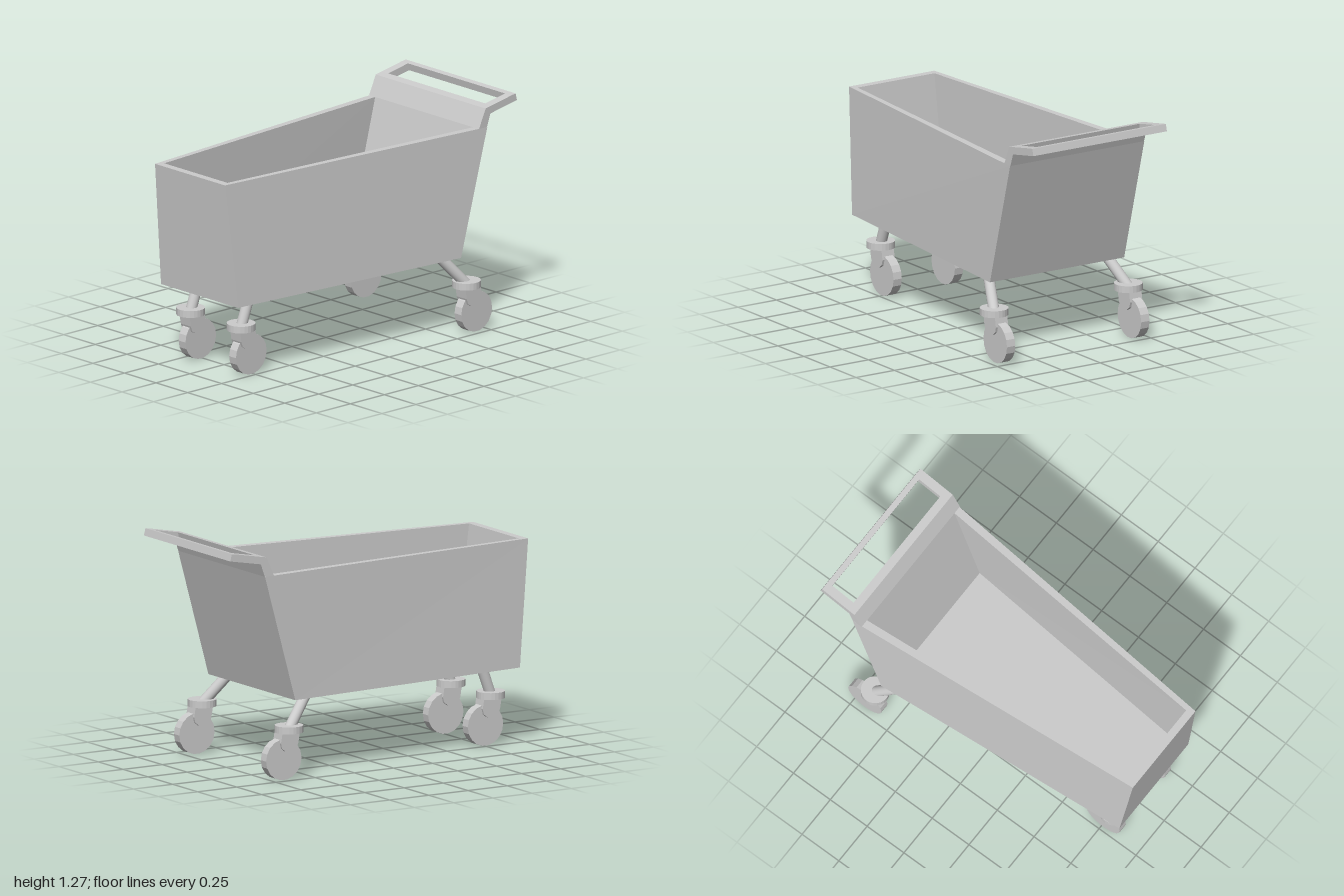
import * as THREE from 'three';

const material = new THREE.MeshStandardMaterial({ color: 0xcccccc, flatShading: true });
const smooth = new THREE.MeshStandardMaterial({ color: 0xcccccc });

function addMesh(parent, name, geometry, mat = material) {
  const mesh = new THREE.Mesh(geometry, mat);
  mesh.name = name;
  parent.add(mesh);
  return mesh;
}

// Four corners of a level trapezoid, counter-clockwise from above
function ring(y, frontX, frontZ, backX, backZ) {
  return [[frontX, y, frontZ], [backX, y, backZ], [-backX, y, backZ], [-frontX, y, frontZ]];
}

// Skin consecutive rings, closing the first and the last
function loft(rings) {
  const positions = [];
  const quad = (a, b, c, d) => positions.push(...a, ...b, ...c, ...a, ...c, ...d);
  for (let r = 0; r < rings.length - 1; r++) {
    for (let i = 0; i < 4; i++) {
      const j = (i + 1) % 4;
      quad(rings[r][i], rings[r][j], rings[r + 1][j], rings[r + 1][i]);
    }
  }
  quad(...[...rings[0]].reverse());
  quad(...rings[rings.length - 1]);
  const geometry = new THREE.BufferGeometry();
  geometry.setAttribute('position', new THREE.Float32BufferAttribute(positions, 3));
  geometry.computeVertexNormals();
  return geometry;
}

// Extrude a side profile of [z, y] points across x from x0 to x1
function sideProfile(points, x0, x1) {
  const shape = new THREE.Shape(points.map(([z, y]) => new THREE.Vector2(-z, y)));
  const geometry = new THREE.ExtrudeGeometry(shape, { depth: x1 - x0, bevelEnabled: false });
  geometry.rotateY(Math.PI / 2);
  geometry.translate(x0, 0, 0);
  return geometry;
}

// Round bar between two points
function bar(from, to, radius) {
  const a = new THREE.Vector3(...from), b = new THREE.Vector3(...to);
  const dir = b.clone().sub(a);
  const geometry = new THREE.CylinderGeometry(radius, radius, dir.length(), 20);
  geometry.applyQuaternion(new THREE.Quaternion().setFromUnitVectors(
    new THREE.Vector3(0, 1, 0), dir.normalize()));
  const mid = a.add(b).multiplyScalar(0.5);
  return geometry.translate(mid.x, mid.y, mid.z);
}

// Swivel caster with its leg; x, z locate the collar, topX, topZ the leg's upper end
function caster(name, x, z, topX, topZ) {
  const group = new THREE.Group();
  group.name = name;
  group.position.set(x, 0, z);
  addMesh(group, 'leg', bar([0, 0.27, 0], [topX - x, 0.435, topZ - z], 0.03), smooth);
  addMesh(group, 'collar', new THREE.CylinderGeometry(0.078, 0.078, 0.038, 24))
    .position.y = 0.275;
  addMesh(group, 'fork', sideProfile([
    [0.045, 0.262], [0.035, 0.2], [0.023, 0.168], [0, 0.155], [-0.045, 0.157],
    [-0.068, 0.175], [-0.076, 0.205], [-0.066, 0.262],
  ], -0.04, 0.04));
  const wheel = addMesh(group, 'wheel', new THREE.CylinderGeometry(0.113, 0.113, 0.054, 18));
  wheel.rotation.z = Math.PI / 2;
  wheel.position.set(0, 0.113, -0.05);
  return group;
}

export function createModel() {
  const cart = new THREE.Group();
  cart.name = 'cart';

  // Open tapered basket: outside, rim, inside
  addMesh(cart, 'basket', loft([
    ring(0.425, 0.305, 0.93, 0.437, -0.587),
    ring(1.122, 0.277, 1.0, 0.437, -0.78),
    ring(1.122, 0.25, 0.957, 0.387, -0.721),
    ring(0.465, 0.267, 0.886, 0.387, -0.55),
  ]));

  // Handle: raised back panel, two side arms and a grip bar
  const handle = new THREE.Group();
  handle.name = 'handle';
  cart.add(handle);
  const half = 0.435, inner = 0.384;
  addMesh(handle, 'backPanel', sideProfile([
    [-0.721, 1.122], [-0.77, 1.228], [-0.815, 1.236], [-0.805, 1.193], [-0.78, 1.122],
  ], -half, half));
  const arm = [[-0.815, 1.236], [-0.959, 1.263], [-0.967, 1.223], [-0.805, 1.193]];
  addMesh(handle, 'leftArm', sideProfile(arm, inner, half));
  addMesh(handle, 'rightArm', sideProfile(arm, -half, -inner));
  addMesh(handle, 'gripBar', sideProfile([
    [-0.959, 1.263], [-0.99, 1.268], [-1.0, 1.229], [-0.967, 1.223],
  ], -half, half));

  // Casters, splayed outward at the back
  for (const [side, s] of [['Left', 1], ['Right', -1]]) {
    cart.add(caster(`front${side}Caster`, s * 0.2, 0.81, s * 0.2, 0.75));
    cart.add(caster(`rear${side}Caster`, s * 0.437, -0.627, s * 0.378, -0.485));
  }
  return cart;
}
